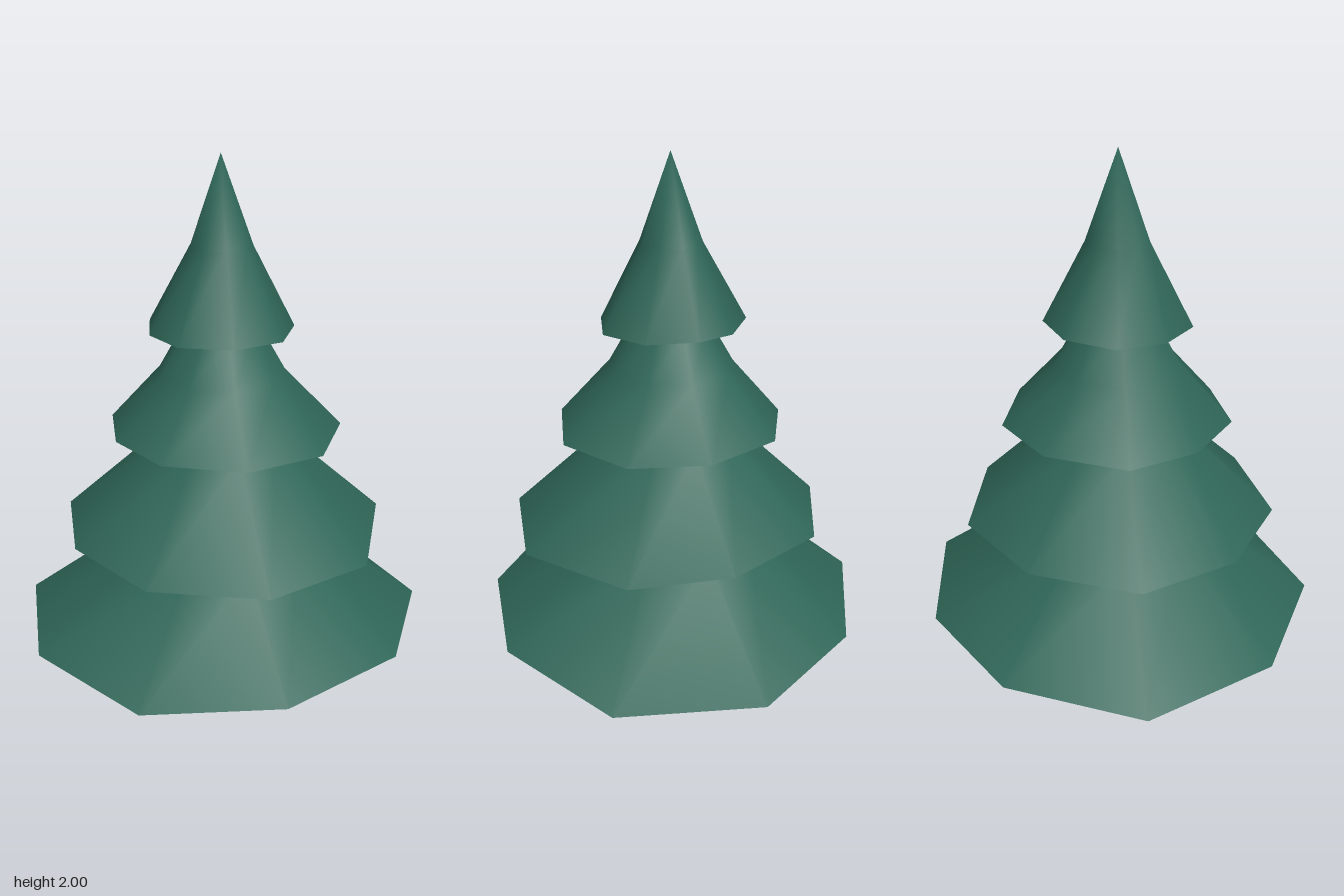
import * as THREE from 'three';

const AXIS_X = -0.035;

// Each tier: uneven rim points [x, y, z] and the rings [radius, y] above it.
const TIERS = [
  {
    rim: [[0.70, 0.365, 0], [0.53, 0.36, 0.47], [0.09, 0.385, 0.68], [-0.37, 0.38, 0.58], [-0.70, 0.375, 0.245],
      [-0.70, 0.375, -0.245], [-0.40, 0.365, -0.635], [0.09, 0.38, -0.685], [0.49, 0.365, -0.44]],
    rings: [[0.30, 0.68], [0.2, 0.80]],
  },
  {
    rim: [[0.50, 0.745, 0.02], [0.41, 0.74, 0.36], [0.04, 0.72, 0.575], [-0.34, 0.725, 0.48], [-0.57, 0.73, 0.16],
      [-0.54, 0.735, -0.21], [-0.32, 0.74, -0.49], [0.06, 0.74, -0.53], [0.38, 0.74, -0.35]],
    rings: [[0.215, 1.06], [0.13, 1.16]],
  },
  {
    rim: [[0.36, 1.09, 0.04], [0.26, 1.085, 0.29], [0, 1.08, 0.41], [-0.27, 1.085, 0.32], [-0.42, 1.09, 0.09],
      [-0.38, 1.09, -0.16], [-0.22, 1.09, -0.35], [0.07, 1.09, -0.37], [0.29, 1.09, -0.23]],
    rings: [[0.215, 1.29], [0.13, 1.44], [0.07, 1.50]],
  },
  {
    rim: [[0.20, 1.445, 0.01], [0.14, 1.44, 0.17], [-0.02, 1.435, 0.25], [-0.19, 1.435, 0.19], [-0.285, 1.435, 0.04],
      [-0.25, 1.435, -0.12], [-0.13, 1.44, -0.24], [0.05, 1.445, -0.24], [0.18, 1.445, -0.12]],
    rings: [[0.105, 1.71]],
    tip: 2.0,
  },
];

// Joins vertices and faces into a geometry with smooth normals.
function meshGeometry(points, index) {
  const g = new THREE.BufferGeometry();
  g.setAttribute('position', new THREE.Float32BufferAttribute(points.flat(), 3));
  g.setIndex(index);
  g.computeVertexNormals();
  return g;
}

// Sloping outside of a tier, closed by a point at the top.
function skirtGeometry({ rim, rings, tip }) {
  const n = rim.length;
  const points = rim.map((p) => [...p]);
  for (const [r, y] of rings) {
    for (const [x, , z] of rim) {
      const a = Math.atan2(z, x - AXIS_X);
      points.push([AXIS_X + r * Math.cos(a), y, r * Math.sin(a)]);
    }
  }
  const apex = points.length;
  points.push([AXIS_X, tip ?? rings[rings.length - 1][1] + 0.05, 0]);

  const index = [];
  for (let k = 0; k <= rings.length; k++) {
    for (let i = 0; i < n; i++) {
      const a = k * n + i;
      const b = k * n + ((i + 1) % n);
      if (k === rings.length) index.push(a, apex, b);
      else index.push(a, a + n, b, b, a + n, b + n);
    }
  }
  return meshGeometry(points, index);
}

// Underside fan that keeps a hard edge at the rim.
function undersideGeometry({ rim }) {
  const n = rim.length;
  const y = rim.reduce((sum, p) => sum + p[1], 0) / n;
  const index = [];
  for (let i = 0; i < n; i++) index.push(n, i, (i + 1) % n);
  return meshGeometry([...rim, [AXIS_X, y, 0]], index);
}

export function createModel() {
  const foliage = new THREE.MeshStandardMaterial({ color: 0x2f6657 });
  foliage.name = 'pine green';
  const bark = new THREE.MeshStandardMaterial({ color: 0x5a3e2e });
  bark.name = 'bark brown';

  const tree = new THREE.Group();
  tree.name = 'pineTree';
  const add = (parent, name, geometry, material) => {
    const mesh = new THREE.Mesh(geometry, material);
    mesh.name = name;
    parent.add(mesh);
    return mesh;
  };

  // Trunk with a flared foot
  const profile = [[0.105, 0], [0.068, 0.08], [0.052, 0.36], [0.05, 0.42]].map(([r, y]) => new THREE.Vector2(r, y));
  add(tree, 'trunk', new THREE.LatheGeometry(profile, 8), bark).position.x = AXIS_X;
  const base = add(tree, 'trunkBase', new THREE.CircleGeometry(0.105, 8, Math.PI / 2), bark);
  base.rotation.x = Math.PI / 2;
  base.position.x = AXIS_X;

  // Four overlapping tiers of branches
  TIERS.forEach((tier, i) => {
    const group = new THREE.Group();
    group.name = `branchTier${i + 1}`;
    add(group, 'skirt', skirtGeometry(tier), foliage);
    add(group, 'underside', undersideGeometry(tier), foliage);
    tree.add(group);
  });
  return tree;
}
